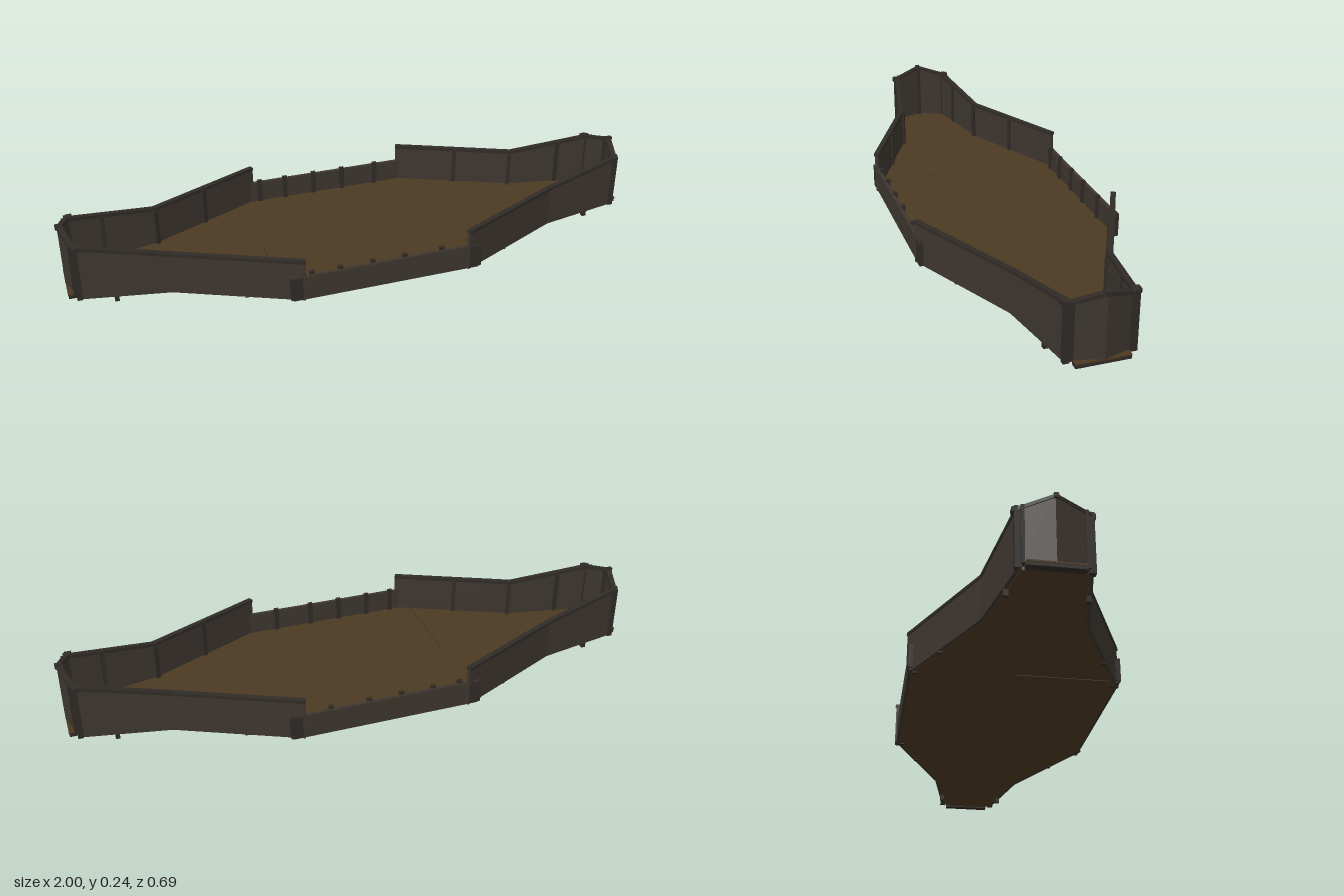
import * as THREE from 'three';

const mat = (name, color) => Object.assign(new THREE.MeshStandardMaterial({ color }), { name });

export function createModel() {
  const group = new THREE.Group();
  const panel = mat('weathered panel', 0x3e362f);
  const trim = mat('dark trim', 0x302b27);
  const boards = mat('brown boards', 0x4d3a22);

  function add(name, geometry, material) {
    const mesh = new THREE.Mesh(geometry, material);
    mesh.name = name;
    group.add(mesh);
    return mesh;
  }
  function box(name, material, x, y0, y1, z, w, d, turn = 0) {
    const mesh = add(name, new THREE.BoxGeometry(w, y1 - y0, d), material);
    mesh.position.set(x, (y0 + y1) / 2, z);
    mesh.rotation.y = turn;
  }
  // upright slab from a to b, each end with its own bottom and top height
  function slab(name, material, a, b, thick) {
    const [ax, az, aLow, aHigh] = a, [bx, bz, bLow, bHigh] = b;
    const length = Math.hypot(bx - ax, bz - az);
    const geo = new THREE.BoxGeometry(length, 1, thick);
    const p = geo.attributes.position;
    for (let i = 0; i < p.count; i++) {
      const atB = p.getX(i) > 0, up = p.getY(i) > 0;
      p.setY(i, atB ? (up ? bHigh : bLow) : (up ? aHigh : aLow));
    }
    geo.computeVertexNormals();
    const mesh = add(name, geo, material);
    mesh.position.set((ax + bx) / 2, 0, (az + bz) / 2);
    mesh.rotation.y = -Math.atan2(bz - az, bx - ax);
  }
  // wall panel with a capping rail
  function wall(name, a, b, base) {
    slab(name, panel, [a[0], a[1], base, a[2] - 0.008], [b[0], b[1], base, b[2] - 0.008], 0.012);
    slab(name + 'Rail', trim, [a[0], a[1], a[2] - 0.011, a[2]], [b[0], b[1], b[2] - 0.011, b[2]], 0.018);
  }

  // floor with a narrow slot
  const quarter = [[0.975, 0], [0.955, 0.09], [0.665, 0.15], [0.295, 0.328]];
  const outline = [
    ...quarter,
    ...quarter.slice(1).reverse().map(([x, z]) => [-x, z]),
    ...quarter.map(([x, z]) => [-x, -z]),
    ...quarter.slice(1).reverse().map(([x, z]) => [x, -z]),
  ].map(([x, z]) => new THREE.Vector2(x, z));
  const shape = new THREE.Shape(outline);
  shape.holes.push(new THREE.Path([[-0.334, 0], [-0.334, 0.305], [-0.33, 0.305], [-0.33, 0]]
    .map(([x, z]) => new THREE.Vector2(x, z))));
  const floorGeo = new THREE.ExtrudeGeometry(shape, { depth: 0.011, bevelEnabled: false });
  floorGeo.rotateX(Math.PI / 2);
  floorGeo.translate(0, 0.03, 0);
  add('floor', floorGeo, boards);

  for (const sz of [1, -1]) {
    // low middle wall and its ribs
    slab('lowWall', panel, [-0.32, sz * 0.332, 0.02, 0.105], [0.32, sz * 0.332, 0.02, 0.105], 0.012);
    for (const x of [-0.255, -0.16, -0.05, 0.06, 0.19])
      box('lowWallRib', trim, x, 0.02, 0.115, sz * 0.325, 0.016, 0.012);

    for (const sx of [1, -1]) {
      const at = (x, z, y) => [sx * x, sz * z, y];
      const slant = sx * sz * Math.atan2(0.18, 0.38);
      // high walls stepping up toward the pointed ends
      wall('flankWall', at(0.28, 0.338, 0.166), at(0.672, 0.153, 0.166), 0.02);
      wall('endSideWall', at(0.668, 0.154, 0.166), at(0.965, 0.096, 0.213), 0.02);
      wall('endWall', at(0.958, 0.1, 0.209), at(0.988, 0, 0.24), 0.03);

      // posts along the walls
      box('stepPost', trim, sx * 0.305, 0.025, 0.105, sz * 0.334, 0.045, 0.014);
      box('bendPost', trim, sx * 0.665, 0.025, 0.157, sz * 0.147, 0.014, 0.014, slant);
      box('flankRib', trim, sx * 0.48, 0.025, 0.16, sz * 0.236, 0.014, 0.012, slant);
      box('legPost', trim, sx * 0.845, 0, 0.19, sz * 0.115, 0.014, 0.014);
      box('endPost', trim, sx * 0.958, 0.02, 0.213, sz * 0.1, 0.018, 0.02);
      box('endInnerPost', trim, sx * 0.968, 0.03, 0.213, sz * 0.088, 0.014, 0.01);
      box('endPostCap', trim, sx * 0.95, 0.198, 0.213, sz * 0.104, 0.022, 0.024);
      // small pads under the floor
      box('floorPad', trim, sx * 0.45, 0.016, 0.022, sz * 0.253, 0.016, 0.016);
      box('floorPad', trim, sx * 0.3, 0.016, 0.022, sz * 0.317, 0.016, 0.016);
    }
  }

  for (const sx of [1, -1]) {
    // end sill, its board and the peak post
    box('endSill', trim, sx * 0.978, 0.015, 0.026, 0, 0.026, 0.166);
    box('endBoard', boards, sx * 0.98, 0.026, 0.031, 0, 0.026, 0.166);
    box('peakPost', trim, sx * 0.991, 0.228, 0.243, 0, 0.018, 0.014);
    box('peakRib', trim, sx * 0.978, 0.03, 0.235, 0, 0.012, 0.012);
  }
  return group;
}
